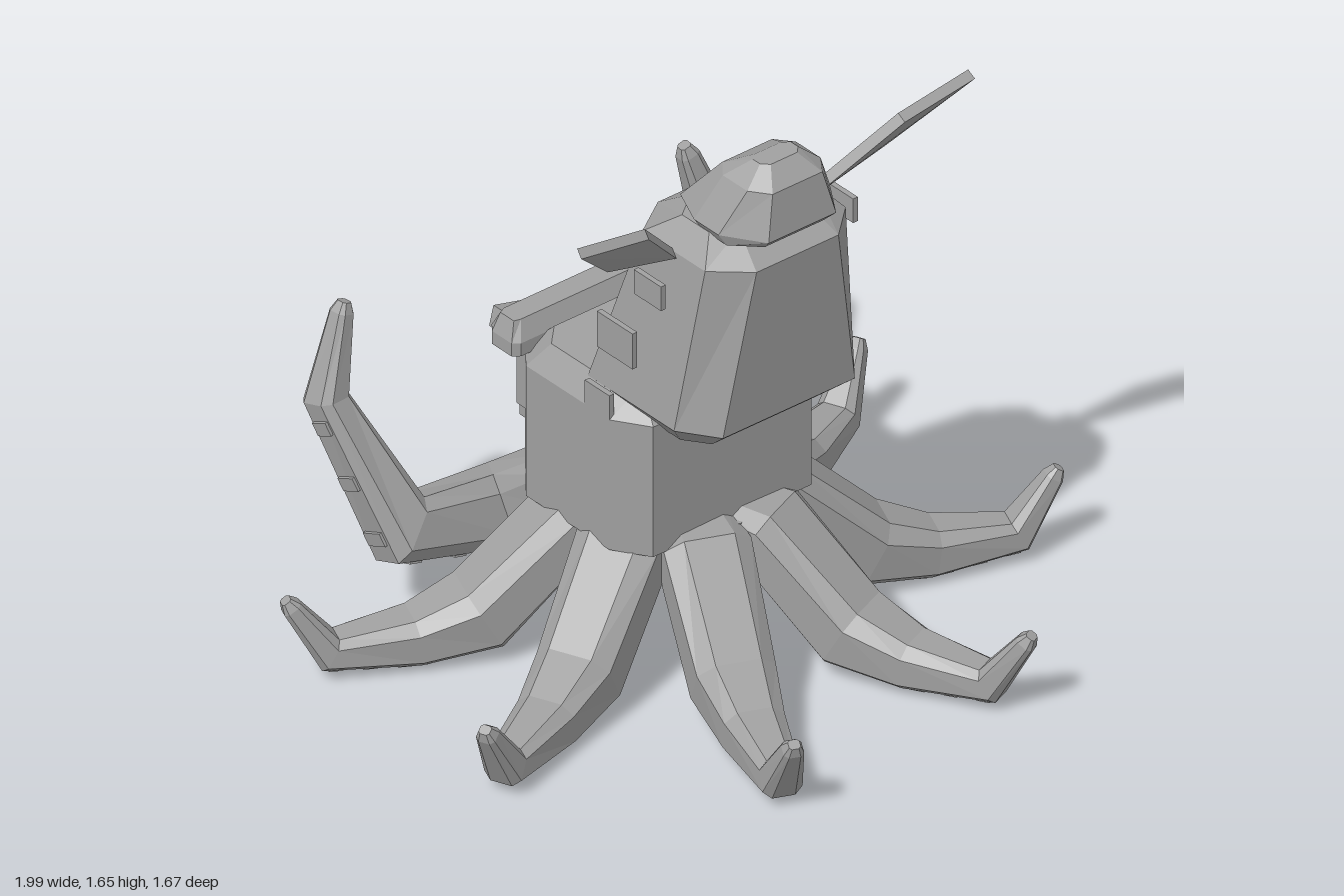
import * as THREE from 'three';

const V = (x, y, z) => new THREE.Vector3(x, y, z);

// Skin a list of equal-length rings (counter-clockwise about the direction of travel) with end caps
function loft(rings) {
  const pos = [];
  const tri = (...p) => p.forEach((v) => pos.push(v.x, v.y, v.z));
  const n = rings[0].length;
  for (let i = 0; i < rings.length - 1; i++) {
    for (let j = 0; j < n; j++) {
      const k = (j + 1) % n, a = rings[i], b = rings[i + 1];
      tri(a[j], a[k], b[k]);
      tri(a[j], b[k], b[j]);
    }
  }
  const s = rings[0], e = rings[rings.length - 1];
  for (let j = 1; j < n - 1; j++) {
    tri(s[0], s[j + 1], s[j]);
    tri(e[0], e[j], e[j + 1]);
  }
  const g = new THREE.BufferGeometry();
  g.setAttribute('position', new THREE.Float32BufferAttribute(pos, 3));
  g.computeVertexNormals();
  return g;
}

// Chamfered horizontal ring: height, half width, front/back flat half widths, four depths
function ring([y, a, wf, wb, zf, zsf, zsb, zb]) {
  const half = [[wf, zf], [a, zsf], [a, zsb], [wb, zb]];
  return [
    ...half.map(([x, z]) => V(x, y, z)),
    ...half.slice().reverse().map(([x, z]) => V(-x, y, z)),
  ];
}

// Chamfered tentacle along stations of [x, y, z, halfWidth, halfHeight], plus side vectors for the suckers
function tentacle(stations) {
  const p = stations.map((s) => V(s[0], s[1], s[2]));
  const sides = [];
  let up = V(0, 1, 0);
  const rings = stations.map((s, i) => {
    const t = V(0, 0, 0);
    if (i > 0) t.add(p[i].clone().sub(p[i - 1]).normalize());
    if (i < p.length - 1) t.add(p[i + 1].clone().sub(p[i]).normalize());
    t.normalize();
    const side = up.clone().cross(t).normalize();
    up = t.clone().cross(side);
    sides.push(side);
    const w = s[3], h = s[4], c = 0.58;
    return [[w, -h * c], [w, h * c], [w * c, h], [-w * c, h], [-w, h * c], [-w, -h * c], [-w * c, -h], [w * c, -h]]
      .map(([u, v]) => p[i].clone().addScaledVector(side, u).addScaledVector(up, v));
  });
  return { geometry: loft(rings), rings, sides };
}

export function createModel() {
  const model = new THREE.Group();
  const grey = new THREE.MeshStandardMaterial({ color: 0xa0a0a0 });
  grey.name = 'grey';

  const add = (name, geometry, parent = model) => {
    const m = new THREE.Mesh(geometry, grey);
    m.name = name;
    parent.add(m);
    return m;
  };
  const box = (name, w, h, d, x, y, z) => {
    const m = add(name, new THREE.BoxGeometry(w, h, d));
    m.position.set(x, y, z);
    return m;
  };
  const facetedCylinder = (...args) => {
    const g = new THREE.CylinderGeometry(...args).toNonIndexed();
    g.computeVertexNormals();
    return g;
  };

  // Head block
  add('head', loft([
    [0.42, 0.335, 0.27, 0.27, 0.08, -0.02, -0.36, -0.44],
    [0.825, 0.335, 0.27, 0.27, 0.08, -0.02, -0.36, -0.44],
    [0.9, 0.29, 0.23, 0.23, -0.01, -0.07, -0.31, -0.37],
  ].map(ring)));

  // Tall mantle, leaning forward
  add('mantle', loft([
    [0.79, 0.22, 0.17, 0.12, 0.2, 0.13, -0.1, -0.2],
    [0.885, 0.30, 0.225, 0.14, 0.31, 0.2, -0.15, -0.25],
    [1.385, 0.24, 0.14, 0.12, 0.345, 0.255, 0.0, -0.08],
    [1.455, 0.18, 0.11, 0.1, 0.24, 0.2, 0.09, 0.03],
  ].map(ring)));

  // Mantle cap
  add('cap', loft([
    [1.44, 0.17, 0.1, 0.12, 0.33, 0.26, 0.17, 0.115],
    [1.475, 0.19, 0.115, 0.14, 0.365, 0.25, 0.15, 0.035],
    [1.605, 0.125, 0.085, 0.085, 0.345, 0.29, 0.19, 0.14],
    [1.655, 0.065, 0.045, 0.045, 0.29, 0.27, 0.24, 0.225],
  ].map(ring)));

  // Hub that the eight tentacles grow from
  const hubZ = -0.165;
  add('hub', facetedCylinder(0.28, 0.28, 0.08, 8)).position.set(0, 0.39, hubZ);

  // Details on the back of the mantle
  box('mantleSlit', 0.18, 0.015, 0.03, 0, 1.145, -0.162).rotation.x = 0.33;
  const ridge = add('mantleRidge', loft([
    [-0.03, 0.105, 0.09, 0.09, 0.04, 0.03, -0.02, -0.03],
    [0.01, 0.105, 0.09, 0.09, 0.04, 0.03, -0.03, -0.045],
    [0.03, 0.09, 0.075, 0.075, 0.04, 0.03, -0.02, -0.03],
  ].map(ring)));
  ridge.position.set(0, 0.95, -0.232);
  ridge.rotation.x = 0.33;

  // Heavy brow across the face
  add('brow', loft([
    [0.84, 0.35, 0.33, 0.33, -0.385, -0.4, -0.48, -0.5],
    [0.88, 0.35, 0.33, 0.33, -0.385, -0.4, -0.48, -0.505],
    [0.935, 0.33, 0.31, 0.31, -0.41, -0.415, -0.47, -0.48],
  ].map(ring)));

  // Mouth bar with a row of teeth
  box('mouth', 0.42, 0.04, 0.07, 0, 0.555, -0.5);
  box('mouthBase', 0.3, 0.04, 0.05, 0, 0.555, -0.45);
  for (let i = -3; i <= 3; i++) {
    const len = i % 2 ? 0.11 : 0.15;
    add('tooth', facetedCylinder(0.04, 0.01, len, 4)).position.set(i * 0.05, 0.54 - len / 2, -0.49);
  }

  // Tentacle with low sucker ridges under its two middle spans
  const addTentacle = (name, stations) => {
    const group = new THREE.Group();
    group.name = name;
    model.add(group);
    const body = tentacle(stations);
    add(name + 'Body', body.geometry, group);
    const mid = (r) => r[6].clone().add(r[7]).multiplyScalar(0.5);
    for (const i of [2, 3]) {
      for (const f of [0.15, 0.5, 0.85]) {
        const a = mid(body.rings[i]), b = mid(body.rings[i + 1]);
        const t = b.clone().sub(a).normalize();
        const side = body.sides[i].clone().lerp(body.sides[i + 1], f);
        side.addScaledVector(t, -side.dot(t)).normalize();
        const w = THREE.MathUtils.lerp(stations[i][3], stations[i + 1][3], f);
        const m = add('sucker', new THREE.BoxGeometry(w * 0.9, 0.016, 0.04), group);
        m.quaternion.setFromRotationMatrix(new THREE.Matrix4().makeBasis(side, t.clone().cross(side), t));
        m.position.copy(a.lerp(b, f));
      }
    }
  };

  // Walking tentacle profile: distance from hub, height, half width, half height
  const legProfile = [
    [0.12, 0.4, 0.1, 0.06], [0.285, 0.37, 0.12, 0.088], [0.53, 0.128, 0.108, 0.1],
    [0.71, 0.084, 0.083, 0.07], [0.945, 0.083, 0.055, 0.05], [1.045, 0.235, 0.028, 0.026], [1.06, 0.258, 0.016, 0.014],
  ];
  // Six of the eight spokes walk; the rear pair are raised arms
  const legs = [['FrontTentacle', 67.5], ['SideTentacle', 22.5], ['RearSideTentacle', -22.5]];

  // Raised arm reaching back, out and up
  const arm = [
    [0.05, 0.4, -0.28, 0.1, 0.06], [0.11, 0.37, -0.43, 0.115, 0.088], [0.2, 0.21, -0.615, 0.09, 0.105],
    [0.55, 0.28, -0.615, 0.085, 0.095], [0.66, 0.65, -0.785, 0.055, 0.052],
    [0.59, 0.88, -0.805, 0.028, 0.028], [0.58, 0.908, -0.806, 0.016, 0.016],
  ];

  for (const s of [1, -1]) {
    const label = s > 0 ? 'left' : 'right';
    for (const [name, degrees] of legs) {
      const angle = THREE.MathUtils.degToRad(degrees);
      addTentacle(label + name, legProfile.map(([r, y, w, h]) =>
        [s * r * Math.cos(angle), y, hubZ + r * Math.sin(angle), w, h]));
    }
    addTentacle(label + 'Arm', arm.map(([x, ...rest]) => [s * x, ...rest]));

    // Diamond fin
    const fin = [V(s * 0.24, 1.38, 0.13), V(s * 0.475, 1.435, 0.13), V(s * 0.67, 1.62, 0.255), V(s * 0.435, 1.58, 0.25)];
    const n = fin[1].clone().sub(fin[0]).cross(fin[2].clone().sub(fin[0])).normalize();
    add(label + 'Fin', loft([-0.015, 0.015].map((d) => fin.map((v) => v.clone().addScaledVector(n, d)))));

    // Side plates
    box(label + 'UpperPlate', 0.016, 0.075, 0.11, s * 0.328, 1.307, 0.135);
    box(label + 'MiddlePlate', 0.016, 0.11, 0.145, s * 0.328, 1.085, 0.002);
    box(label + 'LowerPlate', 0.016, 0.075, 0.1, s * 0.328, 0.863, -0.07);

    // Eye, pupil and slanted eyebrow
    box(label + 'Eye', 0.2, 0.21, 0.085, s * 0.145, 0.705, -0.4625);
    box(label + 'Pupil', 0.13, 0.135, 0.02, s * 0.145, 0.703, -0.51);
    box(label + 'Eyebrow', 0.3, 0.06, 0.05, s * 0.165, 0.85, -0.505).rotation.z = s * 0.25;
  }
  return model;
}
